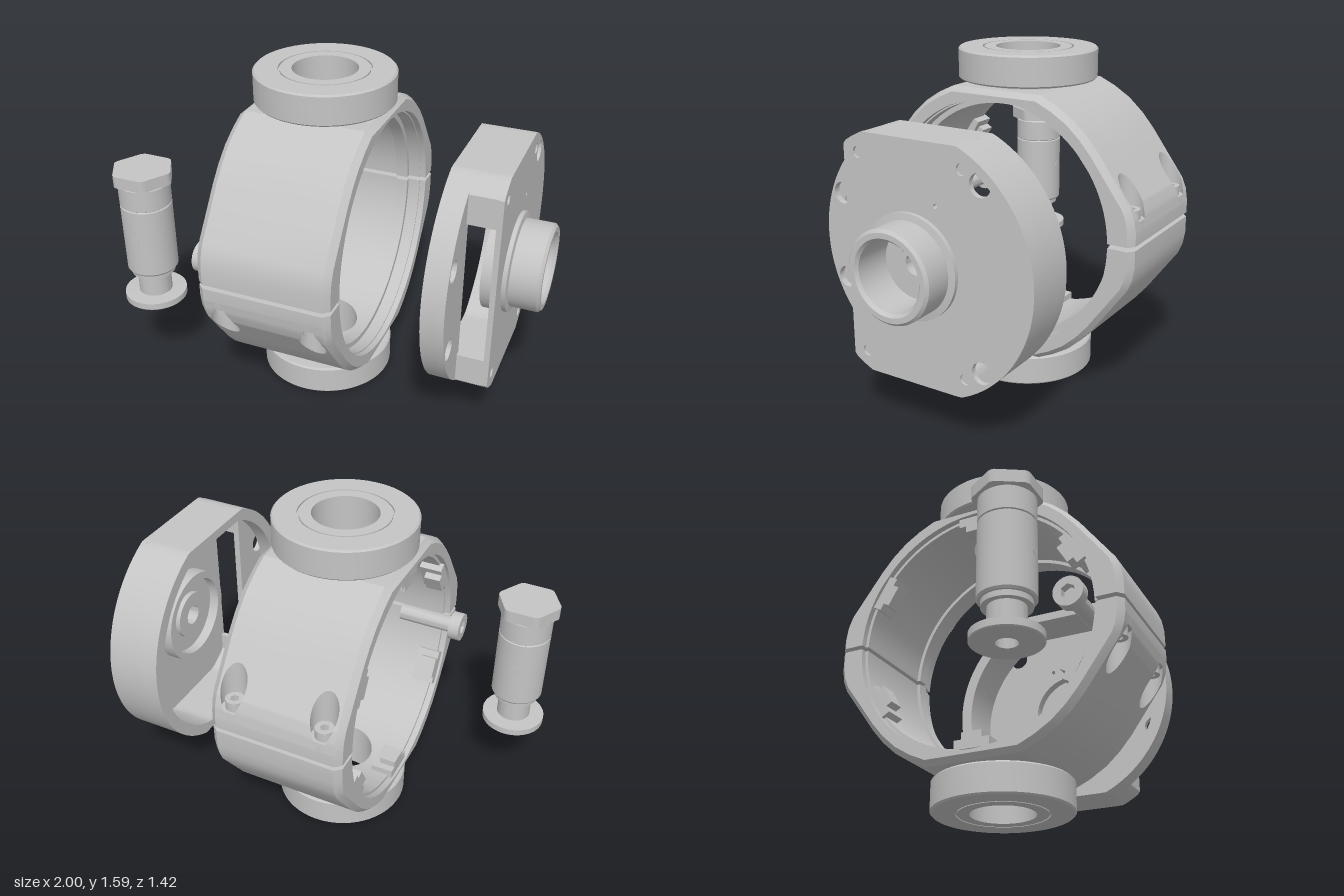
import * as THREE from 'three';
import { toCreasedNormals } from 'three/addons/utils/BufferGeometryUtils.js';

const MID = 0.795;    // height of the main axis
const BOSS_X = -0.09; // trunnion axis
const steel = new THREE.MeshStandardMaterial({ color: 0xc4c4c4 });
steel.name = 'steelGrey';

function add(parent, name, geometry) {
  const mesh = new THREE.Mesh(toCreasedNormals(geometry, 0.5), steel);
  mesh.name = name;
  parent.add(mesh);
  return mesh;
}

function group(parent, name) {
  const g = new THREE.Group();
  g.name = name;
  parent.add(g);
  return g;
}

const shapeOf = pts => new THREE.Shape(pts.map(p => new THREE.Vector2(p[0], p[1])));
const circle = (x, y, r) => new THREE.Path().absarc(x, y, r, 0, Math.PI * 2, true);
const lathe = pts => new THREE.LatheGeometry(pts.map(p => new THREE.Vector2(p[0], p[1])), 64);

// Shape drawn in (z, y), extruded along x from x0 to x1
function prism(shape, x0, x1) {
  const g = new THREE.ExtrudeGeometry(shape, { depth: x1 - x0, bevelEnabled: false, curveSegments: 24 });
  return g.rotateY(-Math.PI / 2).translate(x1, 0, 0);
}

// Slab made of strips along z, with vertical round holes [x, z, r] and curved top and bottom
function stripSlab(x0, x1, zs, holes, bottom, top) {
  const pos = [];
  const quad = (a, b, c, d) => pos.push(...a, ...b, ...c, ...a, ...c, ...d);
  for (let i = 1; i < zs.length; i++) {
    const a = zs[i - 1], b = zs[i];
    let ea = x0, eb = x0;
    const cell = (fa, fb) => {
      const [ta, tb, ba, bb] = [top(a), top(b), bottom(a), bottom(b)];
      quad([ea, ta, a], [eb, tb, b], [fb, tb, b], [fa, ta, a]);
      quad([ea, ba, a], [fa, ba, a], [fb, bb, b], [eb, bb, b]);
      quad([ea, ta, a], [ea, ba, a], [eb, bb, b], [eb, tb, b]);
      quad([fa, ta, a], [fb, tb, b], [fb, bb, b], [fa, ba, a]);
    };
    for (const [hx, hz, r] of holes) {
      const wa = Math.sqrt(Math.max(0, r * r - (a - hz) ** 2)), wb = Math.sqrt(Math.max(0, r * r - (b - hz) ** 2));
      if (wa + wb < 1e-4) continue;
      cell(hx - wa, hx - wb);
      [ea, eb] = [hx + wa, hx + wb];
    }
    cell(x1, x1);
  }
  const g = new THREE.BufferGeometry();
  return g.setAttribute('position', new THREE.Float32BufferAttribute(pos, 3));
}

// Strip limits that follow a circle, plus extra values
function stripLimits(center, r, n, extra) {
  const zs = [...extra];
  for (let i = 0; i <= n; i++) zs.push(center + r * Math.cos(Math.PI * i / n));
  return zs.sort((p, q) => p - q);
}

// Outer housing contour, one quarter, as (z, y)
const contour = [[0, 0.63], [0.23, 0.63], [0.31, 0.593], [0.39, 0.543], [0.46, 0.48], [0.52, 0.41], [0.68, 0.19], [0.7, 0.14], [0.71, 0.08]];
function outline(depth) {
  const z = Math.abs(depth);
  for (let i = 1; i < contour.length; i++) {
    const [a, b] = [contour[i - 1], contour[i]];
    if (z <= b[0]) return a[1] + (b[1] - a[1]) * (z - a[0]) / (b[0] - a[0]);
  }
  return 0.08;
}

// Half ring cross-section; the split is higher on the -z side
function halfRing(r) {
  const right = contour.slice(1);
  const pts = [[0.71, 0], ...right.slice().reverse(), ...right.map(p => [-p[0], p[1]]), [-0.71, 0.02]];
  for (let i = 48; i >= 0; i--) {
    const a = Math.PI * i / 48;
    pts.push([r * Math.cos(a), Math.max(r * Math.sin(a), a > 1.57 ? 0.02 : 0)]);
  }
  return shapeOf(pts);
}

// Socket-head screw pointing down, underside of head at y = 0
function screw(parent, name, headR, headH, shankR, shankL) {
  const g = group(parent, name);
  const head = new THREE.Shape().absarc(0, 0, headR, 0, Math.PI * 2, false);
  const hex = [];
  for (let i = 0; i < 6; i++) hex.push(new THREE.Vector2(Math.cos(i * Math.PI / 3), Math.sin(i * Math.PI / 3)).multiplyScalar(headR * 0.5));
  head.holes.push(new THREE.Path(hex));
  const h = new THREE.ExtrudeGeometry(head, { depth: headH * 0.7, bevelEnabled: false, curveSegments: 20 });
  add(g, 'socketHead', h.rotateX(-Math.PI / 2).translate(0, headH * 0.3, 0));
  add(g, 'headBase', new THREE.CylinderGeometry(headR, headR, headH * 0.3, 40).translate(0, headH * 0.15, 0));
  add(g, 'shank', new THREE.CylinderGeometry(shankR, shankR, shankL, 32).translate(0, -shankL / 2, 0));
  return g;
}

function buildHalf(parent, name) {
  const half = group(parent, name);
  const X0 = -0.38, X1 = 0.19, ZC = 0.585, FLOOR = 0.12;

  // Chamfered end rims
  for (const [a, b, end] of [[-0.41, X0, -0.41], [X1, 0.22, 0.22]]) {
    const g = prism(halfRing(0.59), a, b), p = g.attributes.position;
    for (let i = 0; i < p.count; i++) {
      const y = p.getY(i), z = p.getZ(i);
      if (Math.abs(p.getX(i) - end) < 1e-4 && Math.hypot(y, z) > 0.6) p.setXYZ(i, end, y * 0.963, z * 0.963);
    }
    add(half, 'endRim', g);
  }

  // Walls between the rims: main bore, retaining ridge, cover seat
  for (const [a, b, r] of [[X0, 0.07, 0.575], [0.07, 0.13, 0.558], [0.13, X1, 0.583]]) {
    for (const s of [1, -1]) {
      const gap = s > 0 ? 0 : 0.02;
      const pts = [...contour.slice(1, 6), [ZC, outline(ZC)], [ZC, gap]];
      const last = Math.acos(0.23 / r);
      for (let i = 0; i <= 24; i++) {
        const t = last * i / 24;
        pts.push([r * Math.cos(t), Math.max(r * Math.sin(t), gap)]);
      }
      add(half, 'ringWall', prism(shapeOf(pts.map(p => [p[0] * s, p[1]])), a, b));
    }
    const holes = a === X0 ? [[BOSS_X, 0, 0.15]] : [];
    const zs = stripLimits(0, 0.15, 24, [-0.23, -0.19, 0.19, 0.23]);
    add(half, 'crownWall', stripSlab(a, b, zs, holes, z => Math.sqrt(r * r - z * z), () => 0.63));
  }

  // Split flanges: plain on +z, with two screw pockets on -z
  const plain = [[ZC, 0], [0.71, 0], [0.71, 0.08], [0.7, 0.14], [0.68, 0.19], [ZC, outline(ZC)]];
  add(half, 'plainFlange', prism(shapeOf(plain), X0, X1));
  add(half, 'pocketFloor', prism(shapeOf([[-ZC, 0.02], [-0.71, 0.02], [-0.71, 0.08], [-0.7033, FLOOR], [-ZC, FLOOR]]), X0, X1));
  const pockets = [-0.31, 0.12].map(x => [x, -0.65, 0.06]);
  const limits = stripLimits(-0.65, 0.06, 20, [-0.7033, -0.7, -0.68, -ZC]);
  add(half, 'pocketFlange', stripSlab(X0, X1, limits, pockets, z => Math.min(FLOOR, outline(z)), outline));
  for (const [x, z] of pockets) screw(half, 'clampScrew', 0.042, 0.045, 0.02, 0.08).position.set(x, FLOOR, z);

  // Trunnion boss with bushing groove
  const boss = lathe([[0.15, 0.62], [0.23, 0.62], [0.23, 0.65], [0.317, 0.65], [0.325, 0.658],
    [0.325, 0.787], [0.317, 0.795], [0.212, 0.795], [0.212, 0.785], [0.204, 0.785], [0.204, 0.795], [0.15, 0.795], [0.15, 0.62]]);
  add(half, 'trunnionBoss', boss.translate(BOSS_X, 0, 0));

  // Inner locating lugs
  for (const deg of [30, 90, 150]) {
    const lug = group(half, 'locatingLug');
    add(lug, 'lugBase', new THREE.BoxGeometry(0.11, 0.17, 0.045).translate(-0.345, 0, 0.56));
    add(lug, 'lugTip', new THREE.BoxGeometry(0.08, 0.1, 0.04).translate(-0.36, 0, 0.525));
    lug.rotation.x = -deg * Math.PI / 180;
  }
  return half;
}

// Points of a disc with flat top and bottom, cut off at zMax, starting at angle a0
function platePoints(r, yMax, zMax, a0 = 0) {
  const pts = [];
  for (let i = 0; i <= 120; i++) {
    const a = a0 + (Math.PI * 2 - 2 * a0) * i / 120;
    pts.push([Math.min(zMax, r * Math.cos(a)), THREE.MathUtils.clamp(r * Math.sin(a), -yMax, yMax)]);
  }
  return a0 ? pts : pts.slice(0, -1);
}

function buildCover(parent) {
  const cover = group(parent, 'coverPlate');
  const R = 0.59, Y = 0.54, RI = 0.532, YI = 0.495, STEP = 0.335, WALL = 0.31, SLOT = 0.34;
  const outer = zMax => shapeOf(platePoints(R, Y, zMax));
  const inner = zMax => shapeOf(platePoints(RI, YI, zMax));

  // Open back rim, then the low flange around the cavity
  const rim = outer(1);
  rim.holes.push(inner(1));
  add(cover, 'backRim', prism(rim, 0.58, 0.655));
  const flange = outer(1);
  flange.holes.push(inner(WALL), circle(0.49, 0.2, 0.05), circle(0.49, -0.2, 0.05));
  add(cover, 'lowFlange', prism(flange, 0.655, 0.685));

  // Raised wall with a slot through the stepped side
  const wall = [...platePoints(R, Y, STEP, Math.asin(SLOT / R)), ...platePoints(RI, YI, WALL, Math.asin(SLOT / RI)).reverse()];
  add(cover, 'slottedWall', prism(shapeOf(wall), 0.685, 0.81));

  // Front skin with bolt and pin holes
  const skin = outer(STEP);
  skin.holes.push(circle(0, 0, 0.2), circle(-0.13, 0.28, 0.01));
  for (const s of [1, -1]) {
    skin.holes.push(circle(-0.345, 0.4 * s, 0.05));
    for (const z of [0.26, -0.26]) {
      skin.holes.push(circle(z, 0.45 * s, 0.025));
      add(cover, 'pinPlug', new THREE.CylinderGeometry(0.025, 0.025, 0.012, 24).rotateZ(Math.PI / 2).translate(0.817, 0.45 * s, z));
    }
  }
  add(cover, 'frontSkin', prism(skin, 0.81, 0.835));

  // Hollow hub with a collar inside the cavity
  const profile = [[0.05, 0.765], [0.12, 0.765], [0.12, 0.79], [0.2, 0.79], [0.2, 0.74], [0.235, 0.74], [0.235, 0.855],
    [0.205, 0.86], [0.205, 0.987], [0.192, 1], [0.168, 1], [0.155, 0.985], [0.155, 0.81], [0.05, 0.81], [0.05, 0.765]];
  add(cover, 'hub', lathe(profile).rotateZ(-Math.PI / 2));
}

function buildPin(parent) {
  const pin = group(parent, 'lockingPin');
  pin.position.set(-0.85, 0, 0.39);
  const profile = [[0, 0.55], [0.045, 0.55], [0.045, 0.425], [0.145, 0.425], [0.15, 0.43], [0.15, 0.462], [0.08, 0.465],
    [0.08, 0.575], [0.105, 0.575], [0.105, 0.6], [0.115, 0.6], [0.122, 0.61], [0.122, 0.948], [0.117, 0.952], [0.122, 0.956],
    [0.122, 1.06], [0.11, 1.065], [0.11, 1.075], [0, 1.075]];
  add(pin, 'pinBody', lathe(profile));
  // Hexagonal head with rounded corners
  const head = [];
  for (let i = 0; i < 72; i++) {
    const a = Math.PI * 2 * i / 72, off = (a % (Math.PI / 3)) - Math.PI / 6;
    const r = Math.min(0.146, 0.131 / Math.cos(off));
    head.push([r * Math.cos(a), r * Math.sin(a)]);
  }
  const hex = new THREE.ExtrudeGeometry(shapeOf(head), { depth: 0.058, bevelEnabled: false });
  add(pin, 'hexHead', hex.rotateX(-Math.PI / 2).translate(0, 1.07, 0));
  add(pin, 'crossHolePlug', new THREE.CylinderGeometry(0.02, 0.02, 0.246, 24).rotateX(Math.PI / 2).translate(0, 0.8, 0));
}

export function createModel() {
  const model = new THREE.Group();
  model.name = 'splitBearingHousing';
  const core = group(model, 'core');
  core.position.y = MID;

  // Two identical clamp halves, one turned over
  const housing = group(core, 'housing');
  buildHalf(housing, 'upperHalf');
  buildHalf(housing, 'lowerHalf').rotation.x = Math.PI;
  buildCover(core);

  // Side set screw
  const side = screw(core, 'setScrew', 0.07, 0.055, 0.04, 0.27);
  side.rotation.z = Math.PI / 2;
  side.position.set(-0.455, 0, 0.505);

  buildPin(model);
  return model;
}
